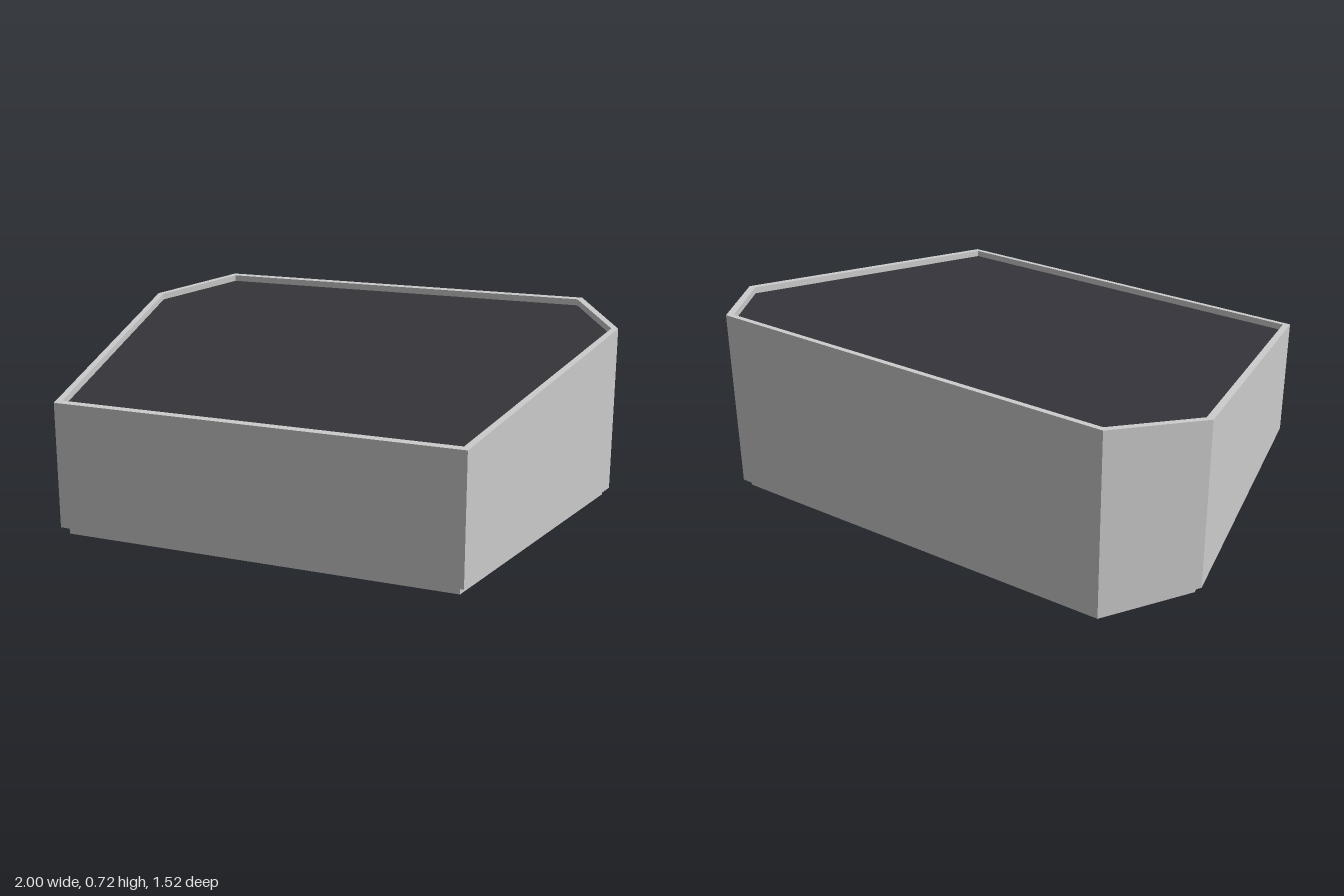
import * as THREE from 'three';

// Right half of the six-sided plan, as [x, z] from front to back
const OUTER = [[0.76, 0.762], [1, -0.43], [0.79, -0.762]];
const INNER = [[0.74, 0.737], [0.974, -0.427], [0.776, -0.737]];

// Height of the sloping top at a given z
const slope = (z) => 0.609 - 0.145 * z;

// Mirrors a half plan into a closed outline; shape y is -z
function outline(half) {
  const right = half.map(([x, z]) => new THREE.Vector2(x, -z));
  const left = half.map(([x, z]) => new THREE.Vector2(-x, -z)).reverse();
  return [...right, ...left];
}

// Stands a flat shape upright as a prism, with its top height given by a rule
function prism(shape, bottom, top) {
  const geo = new THREE.ExtrudeGeometry(shape, { depth: 1, bevelEnabled: false });
  geo.rotateX(-Math.PI / 2);
  const p = geo.attributes.position;
  for (let i = 0; i < p.count; i++) {
    p.setY(i, p.getY(i) > 0.5 ? top(p.getZ(i)) : bottom);
  }
  geo.computeVertexNormals();
  return geo;
}

export function createModel() {
  const group = new THREE.Group();
  const shellGrey = new THREE.MeshStandardMaterial({ color: 0xcccccc });
  shellGrey.name = 'shell grey';
  const panelDark = new THREE.MeshStandardMaterial({ color: 0x34343a });
  panelDark.name = 'dark panel';

  const add = (name, geo, material) => {
    const mesh = new THREE.Mesh(geo, material);
    mesh.name = name;
    group.add(mesh);
  };

  // Walled housing with a thin rim
  const wall = new THREE.Shape(outline(OUTER));
  wall.holes.push(new THREE.Path(outline(INNER)));
  add('housing', prism(wall, 0.03, slope), shellGrey);

  // Stepped-in plinth that closes the underside
  add('plinth', prism(new THREE.Shape(outline(INNER)), 0, () => 0.03), shellGrey);

  // Dark sloping panel set just below the rim
  const panel = new THREE.ShapeGeometry(new THREE.Shape(outline(INNER)));
  panel.rotateX(-Math.PI / 2);
  const p = panel.attributes.position;
  for (let i = 0; i < p.count; i++) p.setY(i, slope(p.getZ(i)) - 0.025);
  panel.computeVertexNormals();
  add('topPanel', panel, panelDark);

  return group;
}
